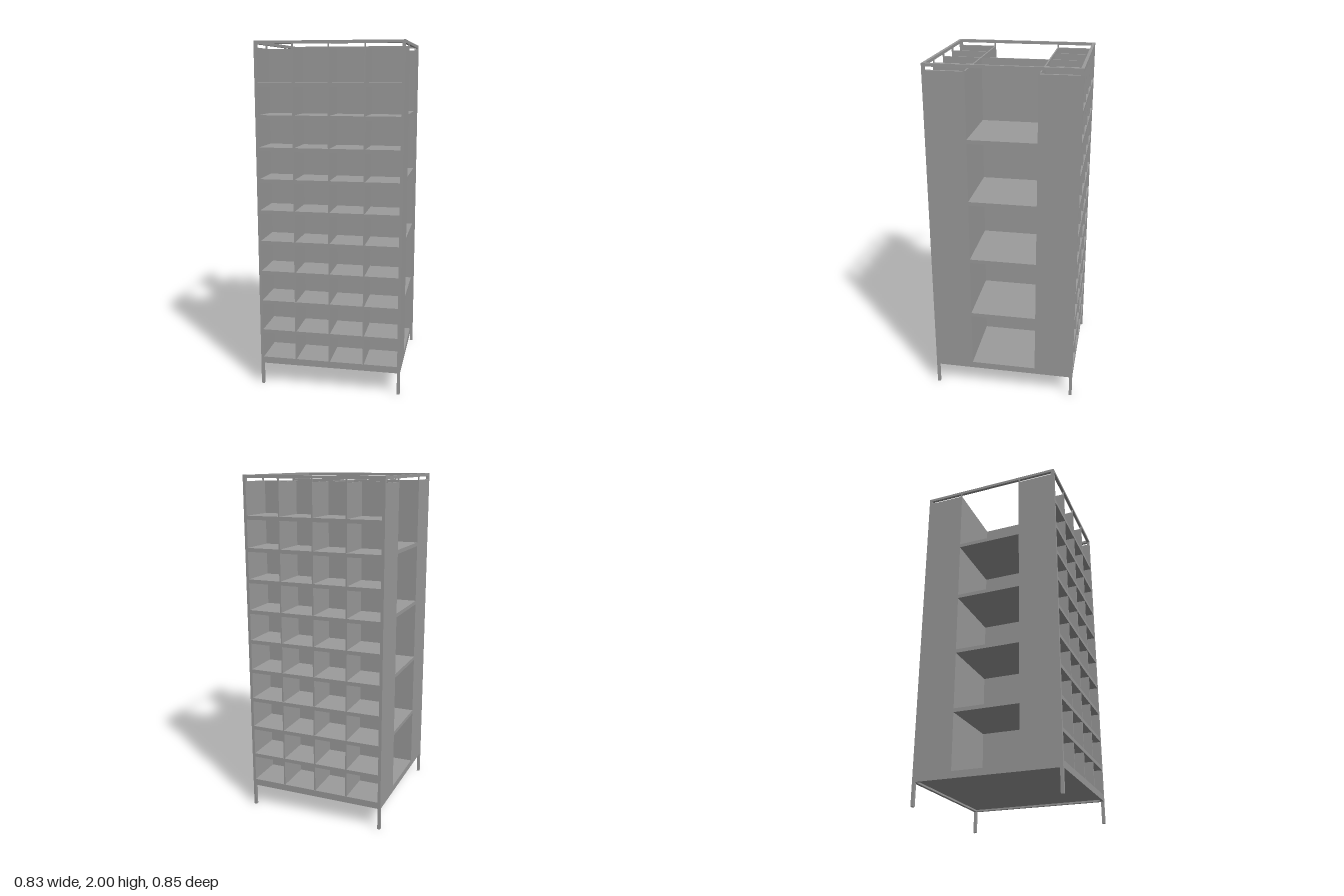
import * as THREE from 'three';

export function createModel() {
  const root = new THREE.Group();
  const mat = new THREE.MeshStandardMaterial({ color: 0x9c9c9c, flatShading: true });
  const X = 0.415, Z = 0.424, BAR = 0.017, T = 0.008, WALL = 0.193;
  const BASE = 0.142, FLOOR = 0.17, TOP = 1.964, RAIL = 1.983, SHELF = 0.022;
  // height of the surface that carries level i
  const level = (i) => (i === 0 ? FLOOR : 0.1625 + i * 0.1795);

  // box given by its min and max corners
  function box(name, x0, x1, y0, y1, z0, z1) {
    const g = new THREE.BoxGeometry(x1 - x0, y1 - y0, z1 - z0);
    g.translate((x0 + x1) / 2, (y0 + y1) / 2, (z0 + z1) / 2);
    const m = new THREE.Mesh(g, mat);
    m.name = name;
    root.add(m);
  }
  // same, placed on the front (s = 1) or mirrored to the back (s = -1)
  function boxZ(s, name, x0, x1, y0, y1, z0, z1) {
    box(name, x0, x1, y0, y1, s > 0 ? z0 : -z1, s > 0 ? z1 : -z0);
  }

  // rectangular rails at the bottom and the top
  for (const [name, y0, y1] of [['bottomRail', 0.131, BASE], ['topRail', RAIL, 2]]) {
    for (const s of [1, -1]) {
      boxZ(s, name, -X, X, y0, y1, Z - BAR, Z);
      box(name, s > 0 ? X - BAR : -X, s > 0 ? X : -X + BAR, y0, y1, -Z + BAR, Z - BAR);
    }
  }

  // base board of the large compartments
  box('baseBoard', -X, X, BASE, FLOOR, -WALL, WALL);

  for (const sz of [1, -1]) {
    for (const sx of [1, -1]) {
      const xa = sx > 0 ? X - BAR : -X, xb = xa + BAR;
      // leg, and short post carrying the top rail
      boxZ(sz, 'leg', xa, xb, 0, 0.131, Z - BAR, Z);
      boxZ(sz, 'cornerPost', xa, xb, TOP, RAIL, Z - BAR, Z);
      // side panel and thin rod at its inner edge
      boxZ(sz, 'sidePanel', xa, xb, BASE, TOP, WALL, Z);
      boxZ(sz, 'panelRod', sx > 0 ? X - T : -X, sx > 0 ? X : -X + T, TOP, RAIL, WALL, WALL + T);
    }

    // base board and wall of the small compartments
    boxZ(sz, 'baseBoard', -X + BAR, X - BAR, BASE, FLOOR, WALL, Z);
    boxZ(sz, 'innerWall', -X + BAR, X - BAR, FLOOR, TOP, WALL, WALL + T);

    // small shelves
    for (let i = 1; i < 10; i++) {
      boxZ(sz, 'smallShelf', -X + BAR, X - BAR, level(i) - SHELF, level(i), WALL + T, Z);
    }

    // upright dividers, standing between the shelves, with rods up to the rail
    for (const x of [-0.2, 0, 0.2]) {
      for (let i = 0; i < 10; i++) {
        const top = i < 9 ? level(i + 1) - SHELF : TOP;
        boxZ(sz, 'divider', x - T / 2, x + T / 2, level(i), top, WALL + T, Z - 0.002);
      }
      boxZ(sz, 'dividerRod', x - T / 2, x + T / 2, TOP, RAIL, Z - T - 0.002, Z - 0.002);
    }
  }

  // large side compartments: shelves at every second level and a centre wall
  for (let i = 0; i < 10; i += 2) {
    if (i > 0) box('largeShelf', -X, X, level(i) - SHELF, level(i), -WALL, WALL);
    const top = i < 8 ? level(i + 2) - SHELF : TOP;
    box('centreWall', -T / 2, T / 2, level(i), top, -WALL, WALL);
  }

  return root;
}
